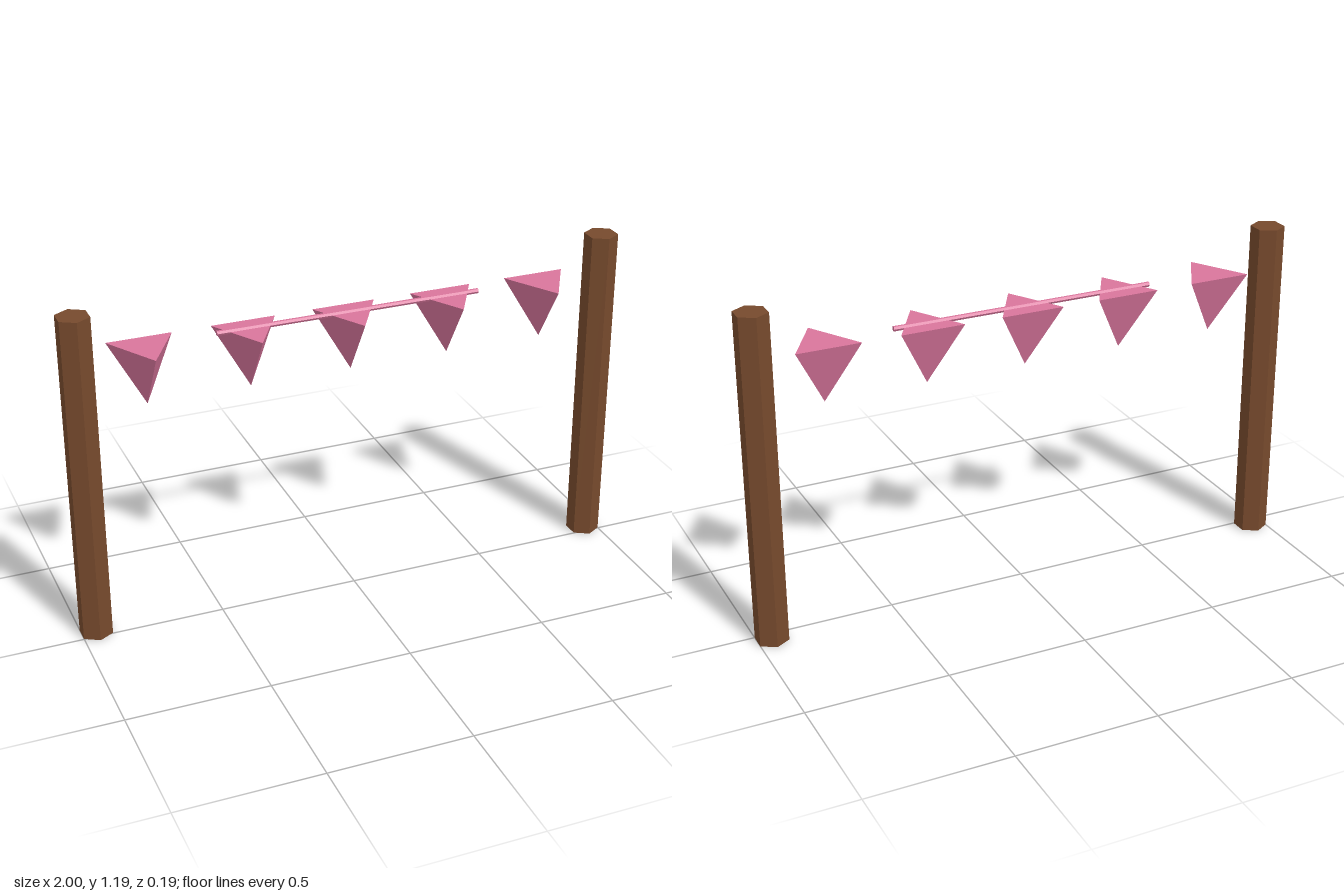
import * as THREE from 'three';

export function createModel() {
  const model = new THREE.Group();
  model.name = 'buntingBetweenPosts';
  const wood = new THREE.MeshStandardMaterial({ color: 0x774a2d, flatShading: true });
  const pink = new THREE.MeshStandardMaterial({ color: 0xd9759c, flatShading: true });
  const lineZ = -0.0325;
  const lineY = 1.046;

  const add = (name, geometry, material, x, y) => {
    const mesh = new THREE.Mesh(geometry, material);
    mesh.name = name;
    mesh.position.set(x, y, lineZ);
    model.add(mesh);
  };

  // Hexagonal posts
  const postHeight = 1.187;
  const postGeometry = new THREE.CylinderGeometry(0.0593, 0.0593, postHeight, 6);
  add('rightPost', postGeometry, wood, -0.949, postHeight / 2);
  add('leftPost', postGeometry, wood, 0.949, postHeight / 2);

  // String running level through the middle pennants
  const stringGeometry = new THREE.CylinderGeometry(0.009, 0.009, 0.948, 6);
  stringGeometry.rotateZ(Math.PI / 2);
  add('string', stringGeometry, pink, 0, lineY);

  // Three-sided pennants pointing down, one corner to the front
  const pennantHeight = 0.21;
  const pennantGeometry = new THREE.CylinderGeometry(0.13, 0, pennantHeight, 3);
  for (let i = -2; i <= 2; i++) {
    add(`pennant${i + 3}`, pennantGeometry, pink, i * 0.36, lineY - pennantHeight / 2);
  }

  return model;
}
